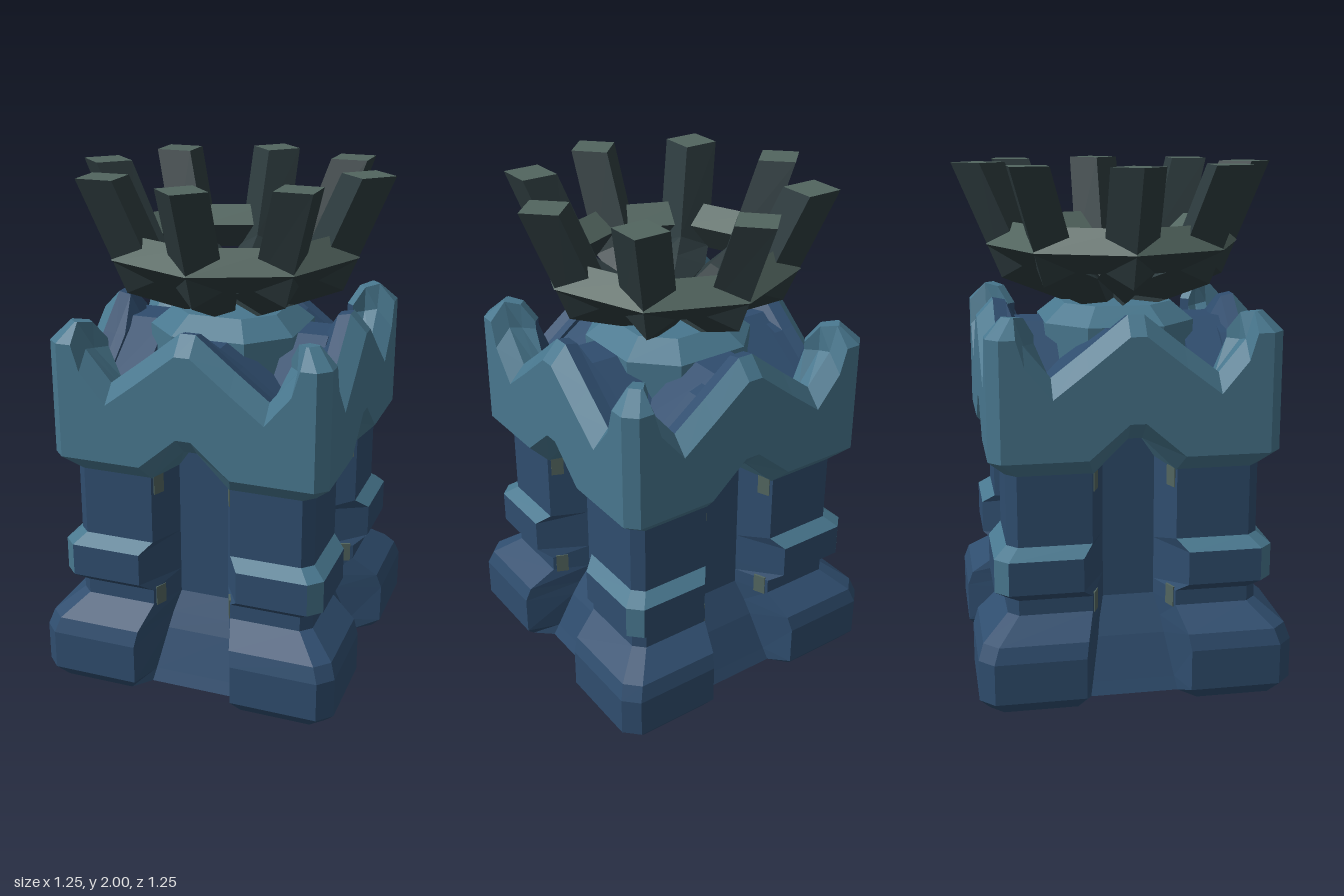
import * as THREE from 'three';

function material(name, color) {
  const m = new THREE.MeshStandardMaterial({ color });
  m.name = name;
  return m;
}
const blue = material('slate blue', 0x2f4d6e);
const teal = material('weathered teal', 0x48778e);
const stone = material('grey green stone', 0x52655f);
const darkStone = material('charcoal stone', 0x2d3b3e);

// Skins closed cross-sections; pick(row, column) chooses the material index of each quad.
function loft(name, rows, mats, pick = () => 0, capStart = false, capEnd = false) {
  const buckets = mats.map(() => []);
  const tri = (m, ...pts) => pts.forEach(p => buckets[m].push(p[0], p[1], p[2]));
  const n = rows[0].length;
  for (let i = 0; i + 1 < rows.length; i++) {
    for (let j = 0; j < n; j++) {
      const k = (j + 1) % n, m = pick(i, j);
      const a = rows[i][j], b = rows[i][k], c = rows[i + 1][k], d = rows[i + 1][j];
      tri(m, a, b, c);
      tri(m, a, c, d);
    }
  }
  const cap = (row, flip) => {
    const mid = [0, 1, 2].map(q => row.reduce((s, p) => s + p[q], 0) / n);
    row.forEach((p, j) => {
      const next = row[(j + 1) % n];
      flip ? tri(0, mid, next, p) : tri(0, mid, p, next);
    });
  };
  if (capStart) cap(rows[0], true);
  if (capEnd) cap(rows[rows.length - 1], false);

  const geo = new THREE.BufferGeometry();
  geo.setAttribute('position', new THREE.Float32BufferAttribute(buckets.flat(), 3));
  let start = 0;
  buckets.forEach((b, m) => {
    geo.addGroup(start, b.length / 3, m);
    start += b.length / 3;
  });
  geo.computeVertexNormals();
  const mesh = new THREE.Mesh(geo, mats);
  mesh.name = name;
  return mesh;
}

// Repeats the points of the front side around all four sides.
function fourSides(front) {
  const ring = [];
  for (let s = 0; s < 4; s++) {
    for (const [x0, y, z0] of front) {
      let x = x0, z = z0;
      for (let q = 0; q < s; q++) [x, z] = [z, -x];
      ring.push([x, y, z]);
    }
  }
  return ring;
}

// Tower shaft: flared foot, raised band and a recessed pilaster on each side.
function makeShaft() {
  // height, half width, corner chamfer, groove mouth, pilaster half width, pilaster depth
  const levels = [
    [0, 0.56, 0.05, 0.23, 0.17, 0.49],
    [0.05, 0.6, 0.055, 0.2, 0.16, 0.47],
    [0.21, 0.6, 0.055, 0.2, 0.13, 0.41],
    [0.27, 0.58, 0.055, 0.19, 0.12, 0.38],
    [0.35, 0.48, 0.04, 0.16, 0.1, 0.34],
    [0.41, 0.48, 0.04, 0.16, 0.1, 0.34],
    [0.45, 0.53, 0.05, 0.2, 0.1, 0.34],
    [0.58, 0.53, 0.05, 0.2, 0.1, 0.34],
    [0.62, 0.48, 0.04, 0.16, 0.1, 0.34],
    [1.12, 0.48, 0.04, 0.16, 0.1, 0.34],
  ];
  const rows = levels.map(([y, r, c, mouth, inner, depth]) => fourSides([
    [c - r, y, r], [-mouth, y, r], [-inner, y, depth],
    [inner, y, depth], [mouth, y, r], [r - c, y, r],
  ]));
  const pick = (i, j) => {
    const f = j % 6;
    if (i === 6 && f === 5) return 1;
    return i === 7 && (f === 0 || f > 3) ? 1 : 0;
  };
  return loft('shaft', rows, [blue, teal], pick, true, true);
}

// Small stone chips set in the groove walls beside each pilaster.
function makeChips() {
  const chips = new THREE.Group();
  chips.name = 'grooveChips';
  const geo = new THREE.BoxGeometry(0.05, 0.08, 0.008);
  for (let s = 0; s < 4; s++) {
    const side = new THREE.Group();
    side.name = 'grooveChipSide';
    side.rotation.y = s * Math.PI / 2;
    for (const sx of [-1, 1]) {
      for (const y of [0.38, 0.86]) {
        const chip = new THREE.Mesh(geo, stone);
        chip.name = 'grooveChip';
        chip.position.set(sx * 0.145, y, 0.445);
        chip.rotation.y = -sx * Math.atan2(0.14, 0.06);
        side.add(chip);
      }
    }
    chips.add(side);
  }
  return chips;
}

// Battlement: zigzag top edge, corner horns and an arch over each pilaster.
function makeBattlement() {
  // distance from the middle, lower edge, upper edge
  const half = [
    [0.03, 1.09, 1.41], [0.18, 0.96, 1.29], [0.31, 0.96, 1.19],
    [0.41, 0.96, 1.31], [0.44, 0.96, 1.41], [0.5, 0.96, 1.41],
  ];
  const edge = [...half.map(([x, b, t]) => [-x, b, t]).reverse(), ...half];
  const ring = (r, height) => fourSides(edge.map(([x, b, t]) => [x * r / 0.545, height(b, t), r]));
  // inner rings keep their spacing and only tuck in at the corners
  const innerRing = (r, height) => fourSides(edge.map(([x, b, t]) =>
    [Math.sign(x) * Math.min(Math.abs(x), r - 0.03), height(b, t), r]));
  const rows = [
    ring(0.32, b => b - 0.07),
    ring(0.475, b => b - 0.07),
    ring(0.545, b => b),
    ring(0.545, (b, t) => t),
    innerRing(0.48, (b, t) => t + 0.07),
    innerRing(0.43, (b, t) => t + 0.06),
    innerRing(0.39, (b, t) => Math.min(t + 0.06, 1.4)),
    innerRing(0.39, () => 1.18),
  ];
  const pick = (i, j) => {
    const f = j % 12;
    return i === 6 || (i > 3 && f > 2 && f < 8) ? 1 : 0;
  };
  return loft('battlement', rows, [teal, blue], pick);
}

// Roof: floor, four inner gables and an eight-sided cap.
function makeRoof() {
  const roof = new THREE.Group();
  roof.name = 'roof';
  const floor = new THREE.Mesh(new THREE.BoxGeometry(0.86, 0.08, 0.86), blue);
  floor.name = 'roofFloor';
  floor.position.y = 1.16;
  roof.add(floor);

  const profile = new THREE.Shape([[-0.38, 1.19], [0.38, 1.19], [0.08, 1.4], [-0.08, 1.4]]
    .map(([x, y]) => new THREE.Vector2(x, y)));
  const gableGeo = new THREE.ExtrudeGeometry(profile, { depth: 0.16, bevelEnabled: false });
  gableGeo.translate(0, 0, 0.25);
  for (let s = 0; s < 4; s++) {
    const gable = new THREE.Mesh(gableGeo, blue);
    gable.name = 'innerGable';
    gable.rotation.y = s * Math.PI / 2;
    roof.add(gable);
  }

  const capRows = [[1.19, 0.29], [1.4, 0.29], [1.47, 0.21]]
    .map(([y, r]) => fourSides([[-r / 2, y, r], [r / 2, y, r]]));
  roof.add(loft('roofCap', capRows, [teal], () => 0, false, true));
  return roof;
}

// Brazier: eight bent prongs with pale ends, joined by an octagonal ring.
function makeBrazier() {
  const brazier = new THREE.Group();
  brazier.name = 'brazier';
  // each section: outer, side, inner, side
  const section = (outer, side, inner, w) => [
    [outer[0], outer[1], 0], [side[0], side[1], -w],
    [inner[0], inner[1], 0], [side[0], side[1], w],
  ];
  const rows = [
    section([0, 1.39], [0, 1.49], [0, 1.51], 0),
    section([0.25, 1.485], [0.25, 1.58], [0.2, 1.63], 0.104),
    section([0.44, 1.56], [0.36, 1.62], [0.28, 1.68], 0.1),
    section([0.625, 2], [0.523, 2], [0.42, 2], 0.1),
  ];
  for (let i = 0; i < 8; i++) {
    const prong = loft('prong', rows, [stone, darkStone], () => 1, false, true);
    prong.rotation.y = i * Math.PI / 4;
    brazier.add(prong);
  }

  const ringRows = [[0.4, 1.61], [0.5, 1.69], [0.43, 1.78], [0.34, 1.71], [0.4, 1.61]]
    .map(([r, y]) => Array.from({ length: 8 }, (_, k) => {
      const a = k * Math.PI / 4;
      return [r * Math.cos(a), y, -r * Math.sin(a)];
    }));
  const pick = i => (i === 1 || i === 2 ? 0 : 1);
  brazier.add(loft('brazierRing', ringRows, [stone, darkStone], pick));
  return brazier;
}

export function createModel() {
  const tower = new THREE.Group();
  tower.name = 'tower';
  tower.add(makeShaft(), makeChips(), makeBattlement(), makeRoof(), makeBrazier());
  return tower;
}
